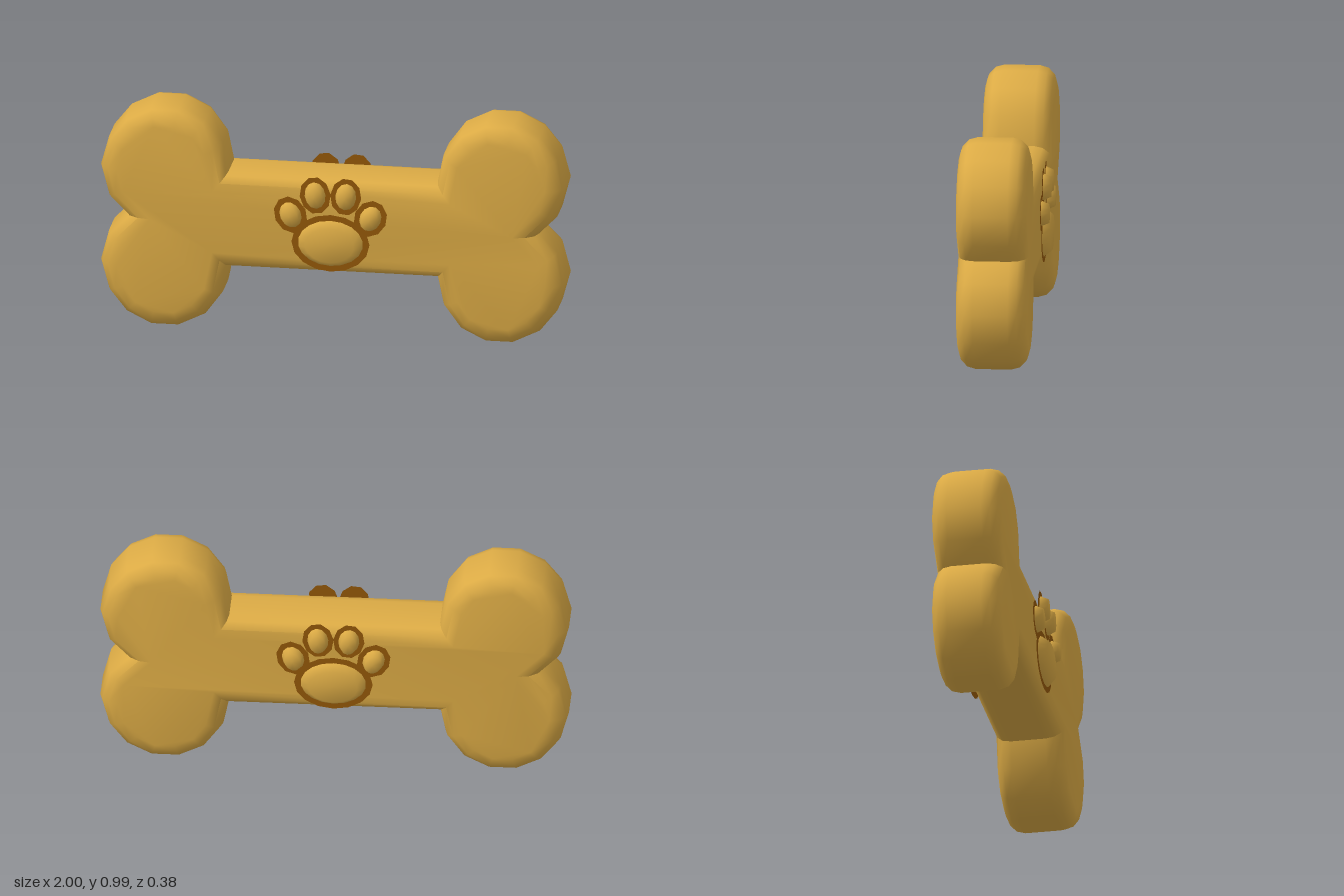
import * as THREE from 'three';
import { toCreasedNormals } from 'three/addons/utils/BufferGeometryUtils.js';

const gold = new THREE.MeshStandardMaterial({ name: 'biscuit gold', color: 0xdcab45 });
const brown = new THREE.MeshStandardMaterial({ name: 'dark brown', color: 0x935808, side: THREE.DoubleSide });

const MID = 0.4935; // height of the bone's axis

// Bone: one rounded outline, mirrored from the upper right lobe
function makeBone() {
  const lobe = [[0.45, 0.212], [0.475, 0.335], [0.55, 0.438], [0.66, 0.4925], [0.78, 0.4925],
    [0.89, 0.438], [0.965, 0.343], [1, 0.215], [0.965, 0.082]];
  const right = [
    ...lobe.map(([x, y]) => [x, -y]),
    [0.885, 0],
    ...lobe.slice().reverse(),
  ];
  const left = right.map(([x, y]) => [-x, -y]);
  const shape = new THREE.Shape([...right, ...left].map(([x, y]) => new THREE.Vector2(x, y)));
  const bevel = 0.075;
  const geo = new THREE.ExtrudeGeometry(shape, {
    depth: 0.15, bevelEnabled: true, bevelThickness: bevel, bevelSize: bevel,
    bevelOffset: -bevel, bevelSegments: 3,
  });
  geo.translate(0, MID, -0.075);
  const mesh = new THREE.Mesh(toCreasedNormals(geo, 0.8), gold);
  mesh.name = 'bone';
  return mesh;
}

// Low dome with an oval base, facing +z
function makeDome(rx, ry, segments) {
  const profile = [[1, 0], [0.75, 1], [0, 1.02]].map(([r, h]) => new THREE.Vector2(r, h));
  const geo = new THREE.LatheGeometry(profile, segments);
  geo.rotateX(Math.PI / 2);
  geo.scale(rx, ry, 0.033);
  return geo;
}

// Paw print: flat brown rims with raised pads
function makePaw() {
  const paw = new THREE.Group();
  const pads = [
    // name, x, y, tilt, pad radii, rim radii, sides
    ['mainPad', 0, 0.43, 0, 0.14, 0.102, 0.168, 0.128, 16],
  ];
  for (const s of [-1, 1]) {
    pads.push(['innerToe', s * 0.066, 0.643, -s * 0.1, 0.045, 0.06, 0.067, 0.084, 10]);
    pads.push(['outerToe', s * 0.172, 0.55, -s * 0.4, 0.046, 0.058, 0.07, 0.084, 10]);
  }
  for (const [name, x, y, tilt, rx, ry, rimX, rimY, sides] of pads) {
    const rim = new THREE.Mesh(new THREE.CircleGeometry(1, sides), brown);
    rim.name = name + 'Rim';
    rim.scale.set(rimX, rimY, 1);
    rim.position.set(x, y, 0.156);
    rim.rotation.z = tilt;
    const pad = new THREE.Mesh(makeDome(rx, ry, sides + 2), gold);
    pad.name = name;
    pad.position.set(x, y, 0.157);
    pad.rotation.z = tilt;
    paw.add(rim, pad);
  }
  return paw;
}

export function createModel() {
  const model = new THREE.Group();
  model.name = 'dogBone';
  const front = makePaw();
  front.name = 'frontPawPrint';
  const back = makePaw();
  back.name = 'backPawPrint';
  back.rotation.y = Math.PI;
  model.add(makeBone(), front, back);
  return model;
}
